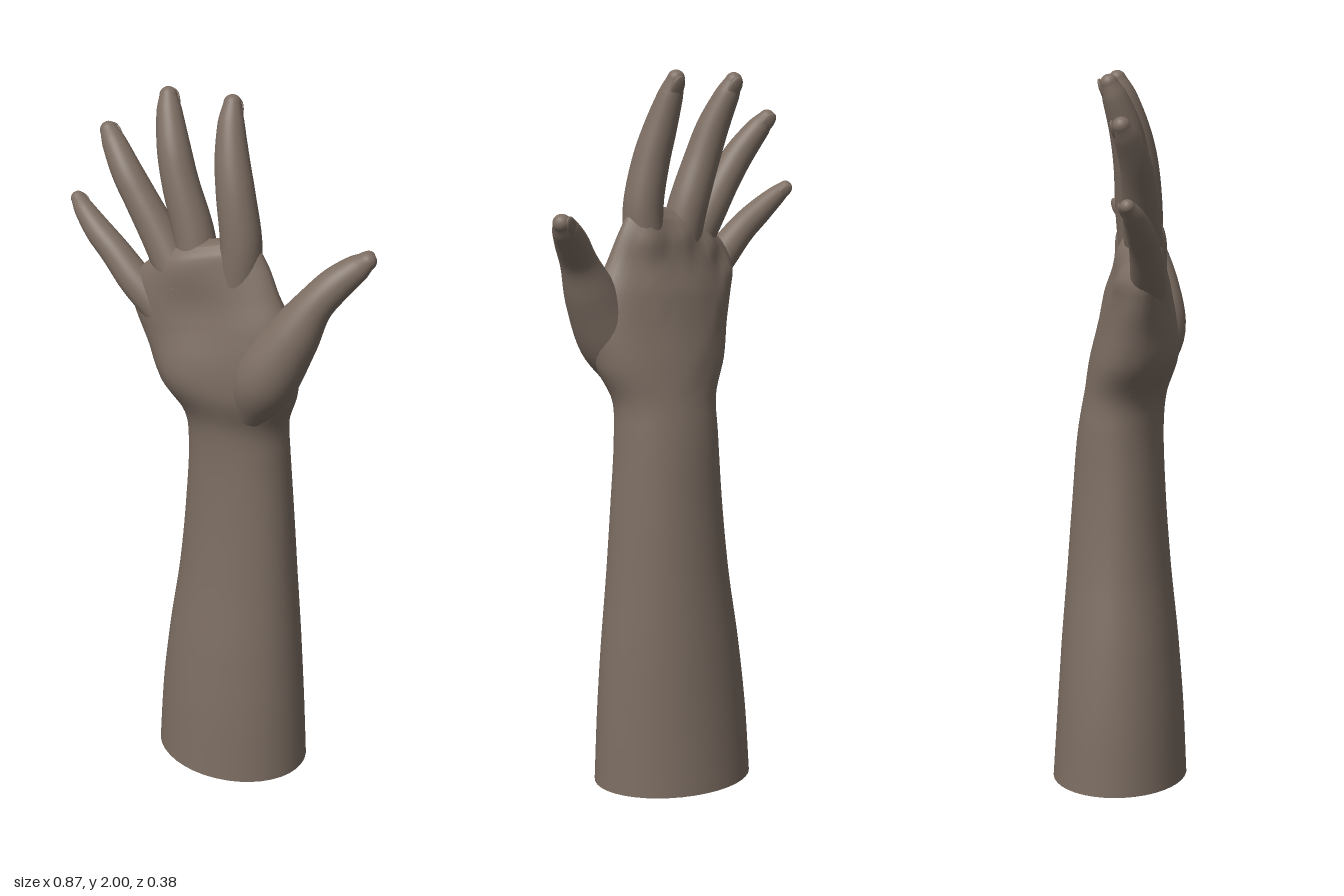
import * as THREE from 'three';

const V = (x, y, z) => new THREE.Vector3(x, y, z);
const SIDES = 40;

// Skin a stack of closed rings with smooth normals; optionally close the far end.
function skin(rings, material, name, endPoint) {
  const n = rings[0].length, pos = [], idx = [];
  rings.forEach(r => r.forEach(p => pos.push(p.x, p.y, p.z)));
  for (let i = 0; i < rings.length - 1; i++) {
    for (let j = 0; j < n; j++) {
      const a = i * n + j, b = i * n + (j + 1) % n;
      idx.push(a, a + n, b, b, a + n, b + n);
    }
  }
  if (endPoint) {
    pos.push(endPoint.x, endPoint.y, endPoint.z);
    const last = (rings.length - 1) * n;
    for (let j = 0; j < n; j++) idx.push(last + j, last + n, last + (j + 1) % n);
  }
  const g = new THREE.BufferGeometry();
  g.setAttribute('position', new THREE.Float32BufferAttribute(pos, 3));
  g.setIndex(idx);
  g.computeVertexNormals();
  const mesh = new THREE.Mesh(g, material);
  mesh.name = name;
  return mesh;
}

// One ring around c; different depth on the front and the back.
function ring(c, side, depth, half, front, back) {
  return Array.from({ length: SIDES }, (_, j) => {
    const t = j / SIDES * Math.PI * 2, s = Math.sin(t);
    return c.clone().addScaledVector(side, half * Math.cos(t))
      .addScaledVector(depth, s * (s > 0 ? front : back));
  });
}

// Forearm and palm cross-sections: little-finger edge, thumb edge, front and back depth.
const ARM = [
  [-0.2, 0, 0, 0.265, 0, 0, 0.19, 0.19],
  [-0.187, 0.2, 0, 0.257, 0.2, 0, 0.18, 0.178],
  [-0.163, 0.4, 0, 0.245, 0.4, 0, 0.163, 0.167],
  [-0.132, 0.6, 0, 0.23, 0.6, 0, 0.14, 0.153],
  [-0.112, 0.8, 0, 0.217, 0.8, 0, 0.124, 0.139],
  [-0.101, 1.0, 0, 0.205, 1.0, 0, 0.117, 0.122],
  [-0.105, 1.1, 0.02, 0.207, 1.1, 0, 0.115, 0.115],
  [-0.155, 1.2, 0.06, 0.25, 1.2, 0.02, 0.115, 0.125],
  [-0.185, 1.3, 0.09, 0.265, 1.3, 0.03, 0.1, 0.12],
  [-0.212, 1.38, 0.11, 0.245, 1.41, 0.03, 0.088, 0.105],
  [-0.225, 1.44, 0.12, 0.207, 1.49, 0.035, 0.072, 0.085],
  [-0.2, 1.5, 0.12, 0.17, 1.57, 0.035, 0.058, 0.066],
  [-0.15, 1.55, 0.11, 0.14, 1.615, 0.04, 0.046, 0.052],
  [-0.1, 1.585, 0.1, 0.105, 1.635, 0.045, 0.025, 0.03],
];

// Knuckle positions used for the tendon ridges on the back of the hand.
const KNUCKLES = [[0.1, 1.54], [-0.02, 1.55], [-0.11, 1.51], [-0.18, 1.44]];
const gauss = (d, w) => Math.exp(-(d * d) / (w * w));

function sculptPalm(p, front) {
  if (p.y < 1.08) return;
  if (front) {
    p.z -= 0.022 * gauss(Math.hypot(p.x - 0.02, p.y - 1.42), 0.1);   // hollow of the palm
    p.z += 0.02 * gauss(Math.hypot(p.x + 0.06, p.y - 1.24), 0.09);   // heel
    p.z += 0.01 * gauss(Math.hypot(p.x + 0.05, p.y - 1.55), 0.07);   // finger pads
  } else {
    for (const [kx, ky] of KNUCKLES) {
      const t = THREE.MathUtils.clamp((p.y - 1.12) / (ky - 1.12), 0, 1);
      const lineX = THREE.MathUtils.lerp(0.04, kx, t);
      p.z -= 0.008 * t * gauss(p.x - lineX, 0.025);
      p.z -= 0.01 * gauss(Math.hypot(p.x - kx, p.y - ky), 0.04);
    }
  }
}

function buildArm(material) {
  const curve = k => new THREE.CatmullRomCurve3(ARM.map(s => V(...k(s))));
  const inner = curve(s => s.slice(0, 3)), outer = curve(s => s.slice(3, 6));
  const depths = curve(s => [s[6], s[7], 0]);
  const rings = [], rows = 91;
  for (let i = 0; i <= rows; i++) {
    const l = inner.getPoint(i / rows), r = outer.getPoint(i / rows), d = depths.getPoint(i / rows);
    const c = l.clone().lerp(r, 0.5), side = r.clone().sub(l);
    const half = side.length() / 2;
    side.normalize();
    const depth = V(-side.z, 0, side.x).normalize();
    const row = ring(c, side, depth, half, d.x, d.y);
    row.forEach((p, j) => { if (j % (SIDES / 2)) sculptPalm(p, j < SIDES / 2); });
    rings.push(row);
  }
  const arm = skin(rings, material, 'forearmAndPalm', V(0, 1.62, 0.07));
  // Flat cut at the bottom
  const cut = skin([[...rings[0]].reverse()], material, 'forearmBase', V(0.03, 0, 0));
  return [arm, cut];
}

// A digit from [x, y, z, radius] stations, with a round tip and a nail opposite the pad.
function buildDigit(name, stations, pad, material) {
  const group = new THREE.Group();
  group.name = name;
  const path = new THREE.CatmullRomCurve3(stations.map(s => V(s[0], s[1], s[2])));
  const radii = new THREE.CatmullRomCurve3(stations.map((s, i) => V(s[3], i * 0.05, 0)));
  const frame = t => {
    const c = path.getPoint(t), along = path.getTangent(t);
    const side = along.clone().cross(pad).normalize();
    return { c, along, side, depth: side.clone().cross(along), r: radii.getPoint(t).x };
  };
  const rings = [], rows = 36;
  for (let i = 0; i <= rows; i++) {
    const { c, side, depth, r } = frame(i / rows);
    rings.push(ring(c, side, depth, r, r, r));
  }
  const end = frame(1);
  for (let k = 1; k < 7; k++) {
    const a = k / 7 * Math.PI / 2, r = end.r * Math.cos(a);
    rings.push(ring(end.c.clone().addScaledVector(end.along, end.r * Math.sin(a)), end.side, end.depth, r, r, r));
  }
  group.add(skin(rings, material, name + 'Flesh', end.c.clone().addScaledVector(end.along, end.r)));

  const f = frame(0.92);
  const nail = new THREE.Mesh(new THREE.SphereGeometry(1, 20, 12), material);
  nail.name = name + 'Nail';
  nail.scale.set(f.r * 0.7, f.r * 1.25, f.r * 0.28);
  nail.quaternion.setFromRotationMatrix(new THREE.Matrix4().makeBasis(f.side, f.along, f.depth));
  nail.position.copy(f.c).addScaledVector(f.depth, -f.r * 0.82);
  group.add(nail);
  return group;
}

const DIGITS = {
  indexFinger: [[0.085, 1.48, 0.05, 0.058], [0.094, 1.62, 0.05, 0.056], [0.072, 1.75, 0.045, 0.052],
    [0.05, 1.84, 0.032, 0.046], [0.03, 1.93, 0.01, 0.035], [0.022, 1.975, -0.006, 0.024]],
  middleFinger: [[-0.025, 1.48, 0.07, 0.058], [-0.055, 1.62, 0.062, 0.056], [-0.1, 1.75, 0.06, 0.05],
    [-0.13, 1.84, 0.05, 0.045], [-0.163, 1.93, 0.026, 0.034], [-0.175, 1.965, 0.014, 0.024]],
  ringFinger: [[-0.07, 1.48, 0.095, 0.056], [-0.135, 1.59, 0.095, 0.052], [-0.2, 1.69, 0.1, 0.046],
    [-0.25, 1.76, 0.1, 0.042], [-0.305, 1.83, 0.087, 0.033], [-0.328, 1.857, 0.08, 0.024]],
  littleFinger: [[-0.13, 1.4, 0.11, 0.05], [-0.205, 1.47, 0.125, 0.047], [-0.275, 1.54, 0.13, 0.041],
    [-0.33, 1.585, 0.13, 0.037], [-0.387, 1.632, 0.122, 0.028], [-0.415, 1.655, 0.114, 0.02]],
  thumb: [[0.13, 1.15, 0.055, 0.06], [0.19, 1.27, 0.065, 0.09], [0.262, 1.4, 0.045, 0.073],
    [0.31, 1.49, 0.02, 0.052], [0.352, 1.55, -0.018, 0.046], [0.392, 1.592, -0.058, 0.036], [0.41, 1.609, -0.074, 0.025]],
};

export function createModel() {
  const model = new THREE.Group();
  model.name = 'raisedHand';
  const skinTone = new THREE.MeshStandardMaterial({ color: 0x7d6e63 });
  skinTone.name = 'skin';
  model.add(...buildArm(skinTone));
  for (const [name, stations] of Object.entries(DIGITS)) {
    const pad = name === 'thumb' ? V(0.6, 0, 0.8) : V(0, 0, 1);
    model.add(buildDigit(name, stations, pad, skinTone));
  }
  return model;
}
